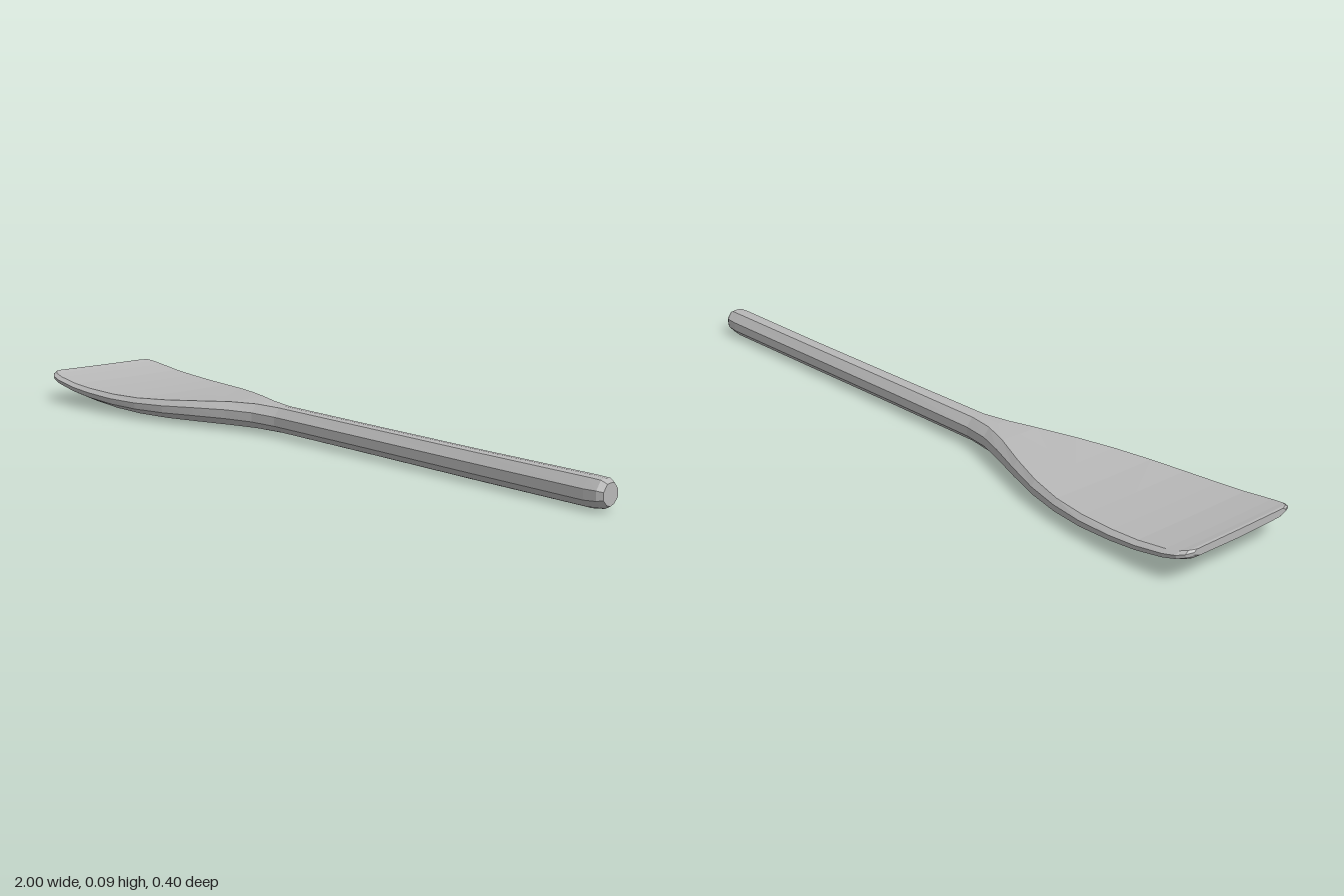
import * as THREE from 'three';

// Half cross-sections, top to bottom: [fraction of half width, fraction of height]
const HANDLE = [[0, 1], [0.5, 0.97], [1, 0.66], [0.97, 0.32], [0.5, 0.08], [0, 0]];
const BLADE = [[0, 0.97], [0.94, 1], [1, 0.75], [0.985, 0.42], [0.86, 0.13], [0, 0]];

// Stations along the length: [x, half width, bottom y, top y, blade shape 0..1]
const bladeStations = [
  [-1, 0.16, 0.066, 0.088, 1],
  [-0.992, 0.18, 0.06, 0.088, 1],
  [-0.975, 0.192, 0.054, 0.084, 1],
  [-0.94, 0.198, 0.045, 0.078, 1],
  [-0.86, 0.2, 0.03, 0.068, 1],
  [-0.78, 0.198, 0.02, 0.063, 1],
  [-0.68, 0.191, 0.011, 0.06, 1],
  [-0.58, 0.176, 0.006, 0.061, 1],
  [-0.48, 0.152, 0.004, 0.066, 0.95],
  [-0.38, 0.118, 0.004, 0.073, 0.85],
  [-0.28, 0.08, 0.004, 0.08, 0.6],
  [-0.2, 0.052, 0.005, 0.082, 0.3],
  [-0.12, 0.038, 0.006, 0.081, 0],
];
const handleStations = [
  [-0.12, 0.038, 0.006, 0.081, 0],
  [0.2, 0.035, 0.004, 0.079, 0],
  [0.6, 0.034, 0.001, 0.077, 0],
  [0.95, 0.036, 0, 0.077, 0],
  [0.985, 0.034, 0.005, 0.076, 0],
  [1, 0.026, 0.013, 0.068, 0],
];

// Full ring of points at one station, mirrored across z
function ring([x, w, bottom, top, k]) {
  const half = HANDLE.map(([z, y], i) => new THREE.Vector3(
    x,
    bottom + (top - bottom) * THREE.MathUtils.lerp(y, BLADE[i][1], k),
    w * THREE.MathUtils.lerp(z, BLADE[i][0], k),
  ));
  const mirrored = half.slice(1, -1).reverse().map((p) => new THREE.Vector3(p.x, p.y, -p.z));
  return [...half, ...mirrored];
}

// Skin the rings, closing the first or last one with a fan
function loft(stations, capStart, capEnd) {
  const rings = stations.map(ring);
  const n = rings[0].length;
  const positions = [];
  const tri = (...points) => points.forEach((p) => positions.push(p.x, p.y, p.z));
  for (let i = 0; i < rings.length - 1; i++) {
    for (let j = 0; j < n; j++) {
      const a = rings[i][j], b = rings[i][(j + 1) % n];
      const c = rings[i + 1][(j + 1) % n], d = rings[i + 1][j];
      tri(a, b, c);
      tri(a, c, d);
    }
  }
  const cap = (points, flip) => {
    const center = points.reduce((s, p) => s.add(p), new THREE.Vector3()).divideScalar(n);
    points.forEach((p, j) => {
      const q = points[(j + 1) % n];
      if (flip) tri(center, q, p);
      else tri(center, p, q);
    });
  };
  if (capStart) cap(rings[0], true);
  if (capEnd) cap(rings[rings.length - 1], false);
  const geometry = new THREE.BufferGeometry();
  geometry.setAttribute('position', new THREE.Float32BufferAttribute(positions, 3));
  geometry.computeVertexNormals(); // unshared corners give flat facets
  return geometry;
}

export function createModel() {
  const group = new THREE.Group();
  group.name = 'spatula';
  const grey = new THREE.MeshStandardMaterial({ color: 0xb8b8b8 });
  grey.name = 'light grey';

  // Wide blade curling up at its tip
  const blade = new THREE.Mesh(loft(bladeStations, true, false), grey);
  blade.name = 'blade';

  // Faceted handle with a chamfered end
  const handle = new THREE.Mesh(loft(handleStations, false, true), grey);
  handle.name = 'handle';

  group.add(blade, handle);
  return group;
}
